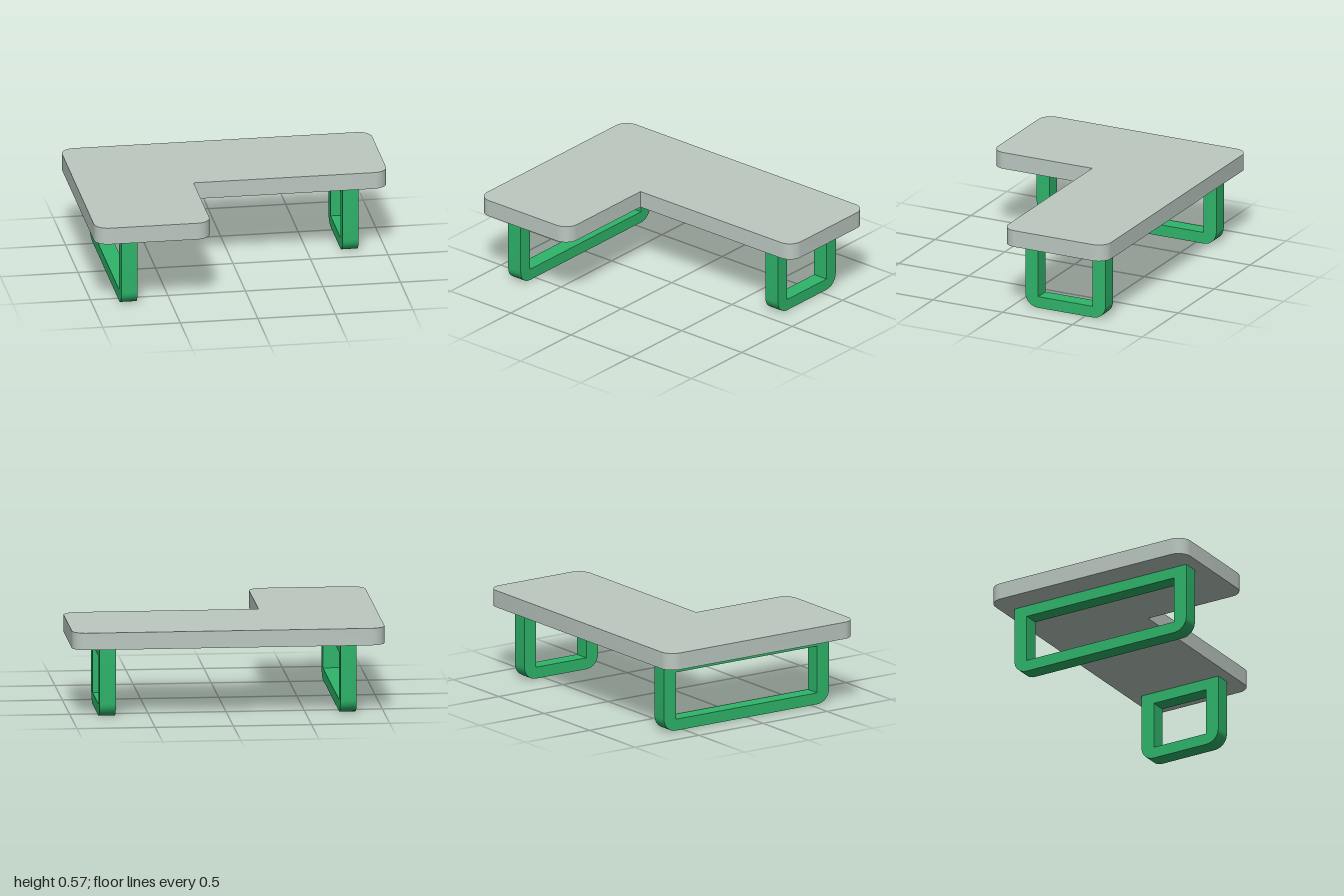
import * as THREE from 'three';
import { toCreasedNormals } from 'three/addons/utils/BufferGeometryUtils.js';

// Counter-clockwise outline of right-angled corners [x, y, radius]; radius 0 stays sharp
function roundedOutline(corners) {
  const shape = new THREE.Shape();
  const n = corners.length;
  corners.forEach(([x, y, r], i) => {
    const prev = corners[(i + n - 1) % n], next = corners[(i + 1) % n];
    const before = new THREE.Vector2(prev[0] - x, prev[1] - y).normalize();
    const after = new THREE.Vector2(next[0] - x, next[1] - y).normalize();
    const sx = x + before.x * r, sy = y + before.y * r;
    if (i === 0) shape.moveTo(sx, sy);
    else shape.lineTo(sx, sy);
    if (r > 0) {
      const start = Math.atan2(-after.y, -after.x);
      shape.absarc(sx + after.x * r, sy + after.y * r, r, start, start + Math.PI / 2, false);
    }
  });
  shape.closePath();
  return shape;
}

function extrude(shape, depth, curveSegments) {
  return new THREE.ExtrudeGeometry(shape, { depth, curveSegments, bevelEnabled: false });
}

export function createModel() {
  const group = new THREE.Group();
  const topMaterial = new THREE.MeshStandardMaterial({ name: 'pale grey', color: 0xbcc8c1 });
  const legMaterial = new THREE.MeshStandardMaterial({ name: 'green', color: 0x2eb56a });

  const add = (name, geometry, material) => {
    const mesh = new THREE.Mesh(toCreasedNormals(geometry, 0.6), material);
    mesh.name = name;
    group.add(mesh);
  };

  // L-shaped top, drawn with y pointing to the back and laid flat
  const r = 0.09;
  const outline = roundedOutline([
    [-1, -0.727, r], [-0.255, -0.727, r], [-0.255, -0.005, 0],
    [1, -0.005, r], [1, 0.732, r], [-1, 0.732, r],
  ]);
  const top = extrude(outline, 0.11, 8);
  top.rotateX(-Math.PI / 2).translate(0, 0.457, 0);
  add('tableTop', top, topMaterial);

  // Closed loop legs with rounded feet, drawn in z and y, extruded across x
  const height = 0.457, sideBar = 0.092, crossBar = 0.075, width = 0.104;
  const addLeg = (name, x, back, front) => {
    const frame = roundedOutline([[back, 0, r], [front, 0, r], [front, height, 0], [back, height, 0]]);
    const z0 = back + sideBar, z1 = front - sideBar, y0 = crossBar, y1 = height - crossBar + 0.002;
    frame.holes.push(new THREE.Path([
      new THREE.Vector2(z0, y0), new THREE.Vector2(z0, y1),
      new THREE.Vector2(z1, y1), new THREE.Vector2(z1, y0),
    ]));
    const leg = extrude(frame, width, 4);
    leg.rotateY(-Math.PI / 2).translate(x + width / 2, 0, 0);
    add(name, leg, legMaterial);
  };
  addLeg('longLegFrame', -0.77, -0.646, 0.641);
  addLeg('shortLegFrame', 0.77, -0.646, -0.071);

  return group;
}
